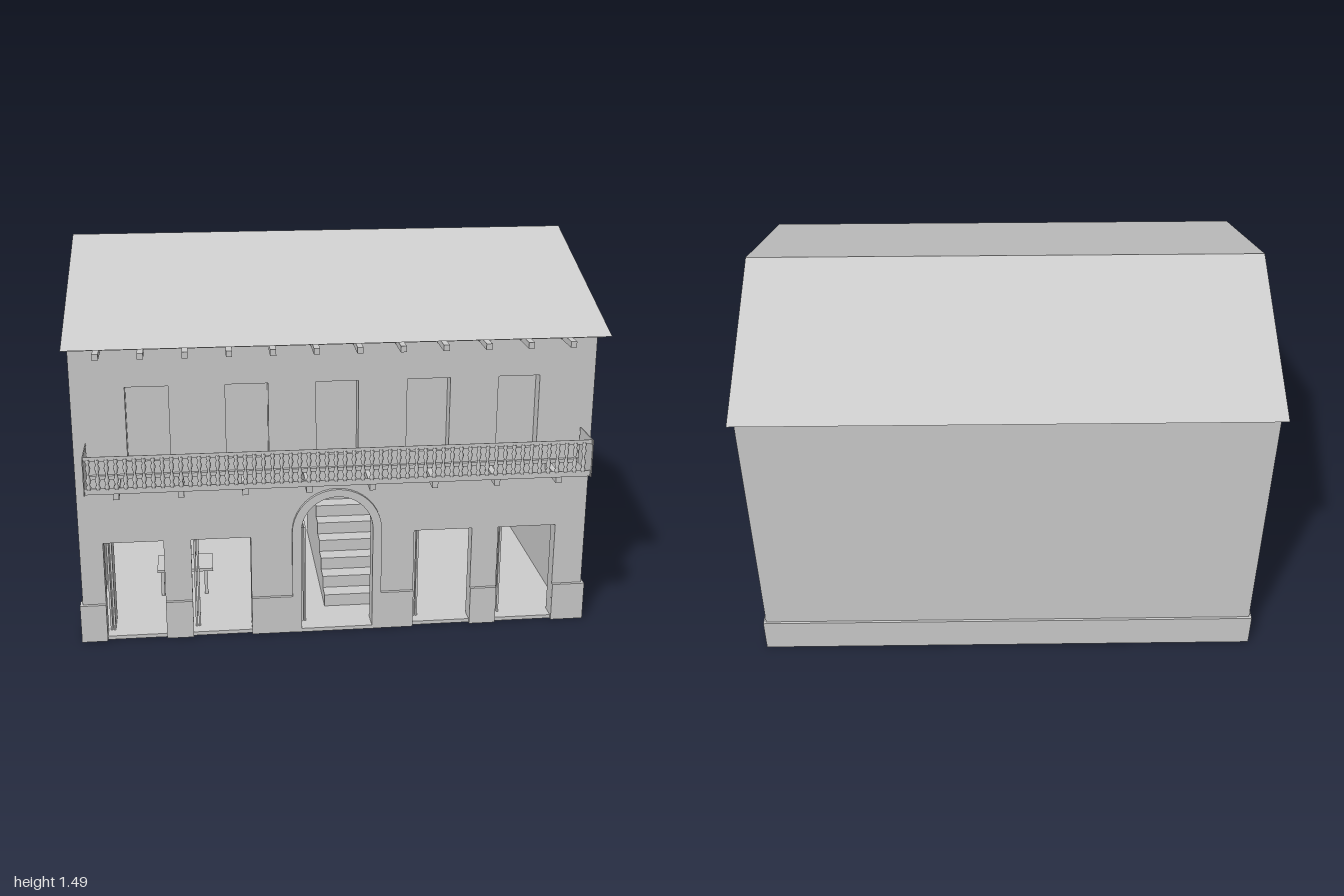
import * as THREE from 'three';

export function createModel() {
  const model = new THREE.Group();
  const plaster = new THREE.MeshStandardMaterial({ color: 0xcccccc, side: THREE.DoubleSide });
  plaster.name = 'pale grey plaster';

  const add = (name, geometry) => {
    const mesh = new THREE.Mesh(geometry, plaster);
    mesh.name = name;
    model.add(mesh);
    return mesh;
  };
  // Box given by its limits on each axis
  const box = (name, x0, x1, y0, y1, z0, z1) => {
    const m = add(name, new THREE.BoxGeometry(x1 - x0, y1 - y0, z1 - z0));
    m.position.set((x0 + x1) / 2, (y0 + y1) / 2, (z0 + z1) / 2);
    return m;
  };
  const rect = (x0, x1, y0, y1) => new THREE.Path([
    new THREE.Vector2(x0, y0), new THREE.Vector2(x1, y0),
    new THREE.Vector2(x1, y1), new THREE.Vector2(x0, y1)]);
  const archPath = (P, r, y0, spring) => {
    const p = new P();
    p.moveTo(-r, y0);
    p.lineTo(r, y0);
    p.lineTo(r, spring);
    p.absarc(0, spring, r, 0, Math.PI, false);
    p.lineTo(-r, y0);
    return p;
  };
  const extrude = (name, shape, depth) => add(name, new THREE.ExtrudeGeometry(shape,
    { depth, bevelEnabled: false, curveSegments: 10 }));

  const front = 0.57, back = -0.685, inner = 0.51, ridge = -0.058, eave = 1.21, peak = 1.49;
  const doors = [[-0.9, -0.67], [-0.565, -0.335], [0.305, 0.535], [0.64, 0.87]];
  const windows = [[-0.79, -0.63], [-0.42, -0.26], [-0.08, 0.08], [0.265, 0.43], [0.615, 0.775]];

  // Front wall with door, window and arch openings
  const wall = new THREE.Shape(rect(-0.99, 0.99, 0, eave).getPoints());
  for (const [a, b] of doors) wall.holes.push(rect(a, b, 0.015, 0.41));
  for (const [a, b] of windows) wall.holes.push(rect(a, b, 0.74, 1.03));
  wall.holes.push(archPath(THREE.Path, 0.14, 0.015, 0.43));
  extrude('frontWall', wall, front - inner).position.z = inner;
  for (const [a, b] of windows) box('windowPanel', a, b, 0.74, 1.03, inner - 0.004, inner + 0.004);

  // Raised arch surround
  const surround = archPath(THREE.Shape, 0.175, 0, 0.425);
  surround.holes.push(archPath(THREE.Path, 0.14, 0.015, 0.43));
  extrude('archSurround', surround, 0.014).position.z = front;

  // Gabled side walls, side plinths
  for (const s of [-1, 1]) {
    const gable = new THREE.Shape([[-front, 0], [-back, 0], [-back, eave], [-ridge, peak], [-front, eave]]
      .map(([u, v]) => new THREE.Vector2(u, v)));
    const side = extrude('sideWall', gable, 0.06);
    side.rotation.y = Math.PI / 2;
    side.position.x = s > 0 ? 0.93 : -0.99;
    box('sidePlinth', s * 0.965 - 0.035, s * 0.965 + 0.035, 0, 0.14, -0.695, 0.58);
  }
  box('backWall', -0.93, 0.93, 0, eave, back, -0.625);
  box('backPlinth', -0.93, 0.93, 0, 0.14, -0.695, -0.63);

  // Plinth blocks between the doors
  const blocks = [[-1, -0.9], [-0.67, -0.565], [-0.335, -0.175], [0.175, 0.305], [0.535, 0.64], [0.87, 1]];
  for (const [a, b] of blocks) box('frontPlinth', a, b, 0, 0.155, front - 0.03, 0.583);

  // Floors and partitions inside
  box('groundFloor', -0.93, 0.93, 0.008, 0.015, -0.625, inner);
  box('upperFloor', -0.93, 0.93, 0.62, 0.64, -0.625, inner);
  for (const x of [-0.27, 0.27]) box('partition', x - 0.015, x + 0.015, 0.015, 0.62, -0.625, inner);

  // Door leaves folded open against the left jambs
  for (const [a] of doors) for (const i of [0, 1])
    box('doorLeaf', a + 0.008 + i * 0.012, a + 0.016 + i * 0.012, 0.015, 0.405, 0.4, 0.52);
  for (const i of [0, 1])
    box('archDoorLeaf', -0.136 + i * 0.011, -0.128 + i * 0.011, 0.015, 0.42, 0.38, 0.52);

  // Staircase behind the arch
  const steps = 11, rise = 0.05, run = 0.07;
  for (let i = 0; i < steps; i++) {
    const z = 0.4 - i * run;
    box('step', -0.03, 0.25, 0.015, 0.015 + (i + 1) * rise, z - run, z);
  }

  // Table in the room
  box('tableTop', -0.71, -0.48, 0.125, 0.137, 0.1, 0.25);
  for (const x of [-0.69, -0.51]) for (const z of [0.12, 0.23])
    box('tableLeg', x - 0.007, x + 0.007, 0.015, 0.125, z - 0.007, z + 0.007);

  // Thin roof sheets, flatter than the gables
  for (const z of [0.705, -0.755]) {
    const g = new THREE.PlaneGeometry(2, Math.hypot(z - ridge, peak - eave));
    const slope = add('roof', g);
    const dir = Math.sign(z);
    slope.rotation.order = 'YXZ';
    slope.rotation.y = dir > 0 ? 0 : Math.PI;
    slope.rotation.x = -Math.atan2(Math.abs(z - ridge), peak - eave);
    slope.position.set(0, (peak + eave) / 2, (z + ridge) / 2);
  }

  // Cornice and rafter ends
  box('cornice', -1, 1, 1.18, 1.208, 0.565, 0.6);
  for (let i = 0; i < 12; i++) {
    const x = -0.88 + i * 0.158;
    box('rafterEnd', x - 0.011, x + 0.011, 1.172, 1.195, 0.56, 0.704);
  }

  // Balcony: soffit, brackets, end panels, rails
  const soffit = new THREE.Mesh(new THREE.PlaneGeometry(1.89, 0.175),
    new THREE.MeshStandardMaterial({ color: 0xcccccc }));
  soffit.material.name = 'pale grey soffit';
  soffit.name = 'balconySoffit';
  soffit.rotation.x = Math.PI / 2;
  soffit.position.set(0, 0.676, 0.658);
  model.add(soffit);
  box('balconyLedge', -0.945, 0.945, 0.675, 0.69, front, 0.583);
  for (let i = 0; i < 8; i++) {
    const x = -0.83 + i * 0.2365;
    box('balconyBracket', x - 0.011, x + 0.011, 0.647, 0.675, front, 0.722);
  }
  for (const x of [-0.942, 0.942]) box('balconyEnd', x - 0.002, x + 0.002, 0.676, 0.822, 0.587, 0.746);
  for (const [a, b] of [[0.676, 0.7], [0.805, 0.822]]) box('rail', -0.942, 0.942, a, b, 0.734, 0.736);

  // Turned balusters
  const profile = [[0.006, 0.695], [0.01, 0.705], [0.005, 0.715], [0.01, 0.73], [0.004, 0.755],
    [0.01, 0.778], [0.005, 0.793], [0.009, 0.802], [0.006, 0.812]].map(([r, y]) => new THREE.Vector2(r, y));
  const baluster = new THREE.LatheGeometry(profile, 8);
  for (let i = 0; i < 56; i++) add('baluster', baluster).position.set(-0.925 + i * 0.0334, 0, 0.735);

  return model;
}
